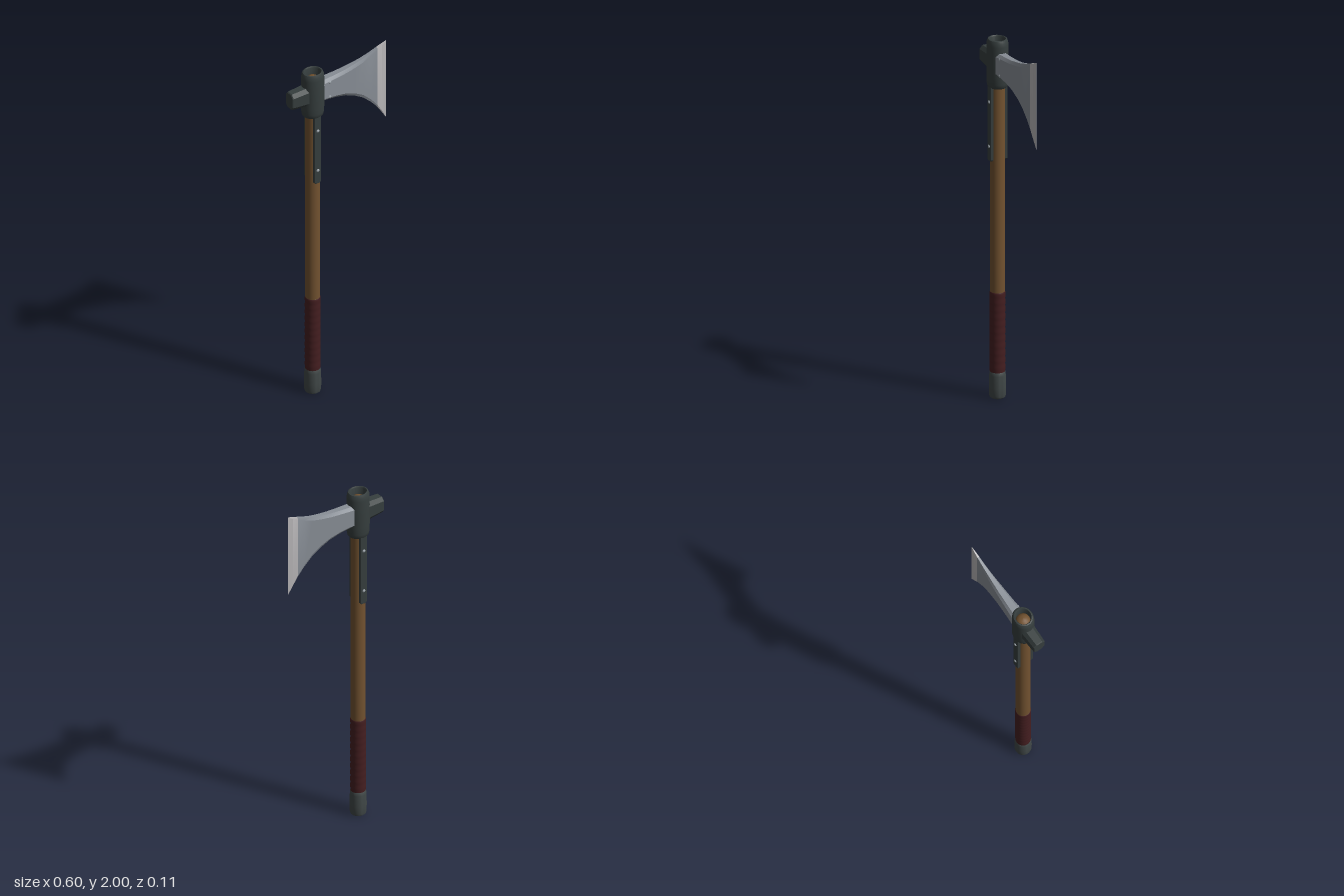
import * as THREE from 'three';
import { mergeVertices, toCreasedNormals } from 'three/addons/utils/BufferGeometryUtils.js';

const SHAFT_X = -0.157;

function material(name, color) {
  const m = new THREE.MeshStandardMaterial({ color });
  m.name = name;
  return m;
}

// Skin a list of rings (arrays of [x, y, z]) and cap both ends
function loft(rings) {
  const n = rings[0].length, index = [];
  for (let i = 0; i < rings.length - 1; i++) {
    for (let j = 0; j < n; j++) {
      const a = i * n + j, b = i * n + (j + 1) % n;
      index.push(a, b, a + n, b, b + n, a + n);
    }
  }
  const last = (rings.length - 1) * n;
  for (let j = 1; j < n - 1; j++) {
    index.push(0, j + 1, j, last, last + j, last + j + 1);
  }
  const g = new THREE.BufferGeometry();
  g.setAttribute('position', new THREE.Float32BufferAttribute(rings.flat(2), 3));
  g.setIndex(index);
  return toCreasedNormals(g, 0.35);
}

// Chamfered section across the x axis, counter-clockwise seen from +x
function section(x, bottom, top, half, inner, bevel) {
  return [
    [x, bottom, inner], [x, bottom, -inner], [x, bottom + bevel, -half], [x, top - bevel, -half],
    [x, top, -inner], [x, top, inner], [x, top - bevel, half], [x, bottom + bevel, half],
  ];
}

function lathe(points) {
  return new THREE.LatheGeometry(points.map(([r, y]) => new THREE.Vector2(r, y)), 32);
}

// Lathe with its sharper edges kept crisp
function creasedLathe(points) {
  const g = lathe(points);
  g.deleteAttribute('uv');
  g.deleteAttribute('normal');
  return toCreasedNormals(mergeVertices(g), 0.6);
}

export function createModel() {
  const axe = new THREE.Group();
  axe.name = 'axe';
  const wood = material('wood', 0x725230);
  const leather = material('grip leather', 0x441e20);
  const iron = material('dark iron', 0x363e3e);
  const capIron = material('cap iron', 0x404747);
  const steel = material('blade steel', 0x888e96);
  const edgeSteel = material('edge steel', 0xb8b6b8);
  const rivetSteel = material('rivet steel', 0x9aa2a8);

  function add(name, geometry, mat, x = 0, y = 0, z = 0) {
    const mesh = new THREE.Mesh(geometry, mat);
    mesh.name = name;
    mesh.position.set(x, y, z);
    axe.add(mesh);
    return mesh;
  }

  // Wooden shaft with a domed top inside the collar
  add('shaft', lathe([[0, 0.1], [0.037, 0.1], [0.039, 0.8], [0.039, 1.92], [0.036, 1.932],
    [0.029, 1.942], [0.016, 1.949], [0, 1.951]]), wood, SHAFT_X);

  // Wrapped grip: softly overlapping bands
  const bands = 11, gripBottom = 0.145, bandHeight = 0.44 / bands;
  const grip = [];
  for (let i = 0; i < bands; i++) {
    const y = gripBottom + i * bandHeight;
    grip.push([0.0398, y], [0.0407, y + bandHeight * 0.4], [0.0415, y + bandHeight * 0.8]);
  }
  grip.push([0.0398, gripBottom + 0.44], [0.0385, gripBottom + 0.441]);
  add('grip', lathe(grip), leather, SHAFT_X);

  // Butt cap
  add('buttCap', creasedLathe([[0, 0], [0.034, 0], [0.041, 0.006], [0.044, 0.018], [0.045, 0.06],
    [0.043, 0.125], [0.041, 0.142], [0.036, 0.15], [0, 0.15]]), capIron, SHAFT_X);

  // Oval collar, open at the top
  const collar = add('collar', creasedLathe([[0.039, 1.72], [0.052, 1.715], [0.058, 1.722],
    [0.061, 1.74], [0.0625, 1.78], [0.0625, 1.86], [0.062, 1.945], [0.06, 1.965], [0.054, 1.978],
    [0.047, 1.98], [0.043, 1.974], [0.042, 1.91]]), iron, SHAFT_X);
  collar.scale.z = 0.9;

  // Hammer poll
  add('poll', loft([
    section(-0.303, 1.806, 1.892, 0.031, 0.016, 0.018),
    section(-0.298, 1.801, 1.897, 0.034, 0.018, 0.02),
    section(-0.203, 1.793, 1.904, 0.038, 0.021, 0.022),
  ]), iron);

  // Blade stations: x, bottom, top, half thickness, half width of the rim, bevel
  const shoulder = [0.242, 1.612, 1.978, 0.0085, 0.005, 0.012];
  const stations = [
    [-0.108, 1.787, 1.914, 0.034, 0.019, 0.016],
    [-0.08, 1.786, 1.915, 0.032, 0.018, 0.016],
    [-0.02, 1.778, 1.919, 0.028, 0.016, 0.016],
    [0.04, 1.764, 1.925, 0.024, 0.014, 0.017],
    [0.1, 1.737, 1.935, 0.0195, 0.011, 0.018],
    [0.15, 1.706, 1.946, 0.0155, 0.009, 0.018],
    [0.2, 1.66, 1.962, 0.0115, 0.007, 0.016],
    shoulder,
  ];
  add('blade', loft(stations.map((s) => section(...s))), steel);

  // Sharpened edge
  add('cuttingEdge', loft([
    section(...shoulder),
    section(0.272, 1.568, 1.989, 0.006, 0.0035, 0.008),
    section(0.301, 1.522, 2.0, 0.0006, 0.0004, 0.002),
  ]), edgeSteel);

  // Rivets near the root of the blade, on the front
  const rivet = new THREE.SphereGeometry(0.009, 16, 10);
  for (const y of [1.805, 1.894]) {
    add('bladeRivet', rivet, rivetSteel, -0.07, y, 0.029).scale.z = 0.6;
  }

  // Straps with rivets, front and back
  const strapShape = new THREE.Shape();
  const w = 0.019, c = 0.007;
  strapShape.moveTo(-w + c, 1.312).lineTo(w - c, 1.312).lineTo(w, 1.312 + c).lineTo(w, 1.74)
    .lineTo(-w, 1.74).lineTo(-w, 1.312 + c).closePath();
  const strap = new THREE.ExtrudeGeometry(strapShape, {
    depth: 0.014, bevelEnabled: true, bevelThickness: 0.002, bevelSize: 0.002, bevelSegments: 1,
  });
  for (const side of [1, -1]) {
    const mesh = add(side > 0 ? 'frontStrap' : 'backStrap', strap, iron, SHAFT_X, 0, side * 0.032);
    if (side < 0) mesh.rotation.y = Math.PI;
    for (const y of [1.39, 1.635]) {
      add('strapRivet', rivet, rivetSteel, SHAFT_X, y, side * 0.048).scale.z = 0.7;
    }
  }
  return axe;
}
